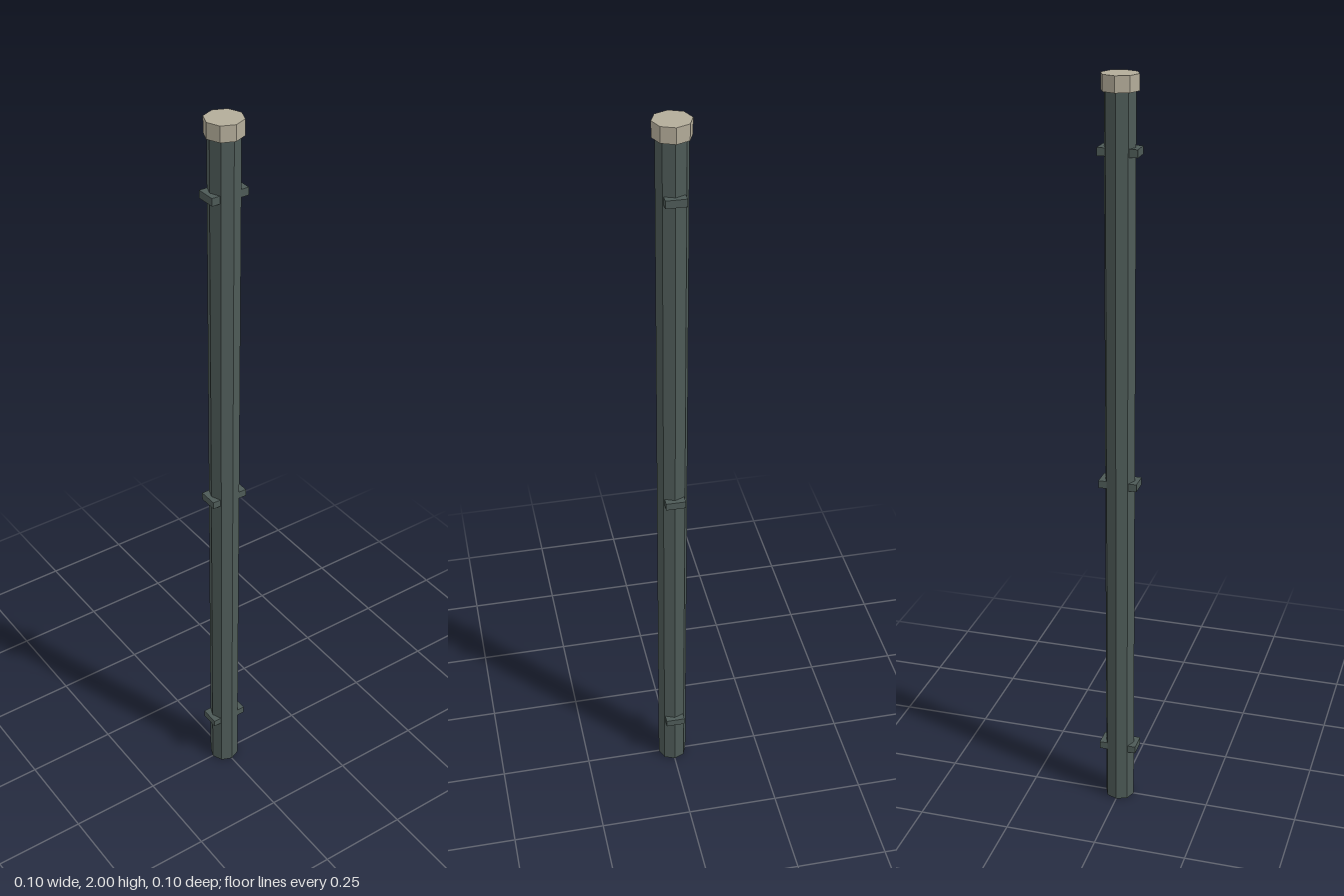
import * as THREE from 'three';

export function createModel() {
  const group = new THREE.Group();
  const steel = new THREE.MeshStandardMaterial({ color: 0x4d5a57, flatShading: true });
  steel.name = 'dark green steel';
  const beige = new THREE.MeshStandardMaterial({ color: 0xb3ac99, flatShading: true });
  beige.name = 'beige cap';

  const add = (name, geometry, material, y) => {
    const mesh = new THREE.Mesh(geometry, material);
    mesh.name = name;
    mesh.position.y = y;
    group.add(mesh);
  };

  // Octagonal post and its wider cap
  const capHeight = 0.04;
  const postHeight = 2 - capHeight;
  add('post', new THREE.CylinderGeometry(0.04, 0.04, postHeight, 8), steel, postHeight / 2);
  add('cap', new THREE.CylinderGeometry(0.048, 0.048, capHeight, 8), beige, 2 - capHeight / 2);

  // Wire brackets, each passing through the post and showing on both sides
  const bracket = new THREE.BoxGeometry(0.102, 0.02, 0.052);
  [0.16, 0.953, 1.817].forEach((y, i) => add(`bracket${i + 1}`, bracket, steel, y));

  return group;
}
